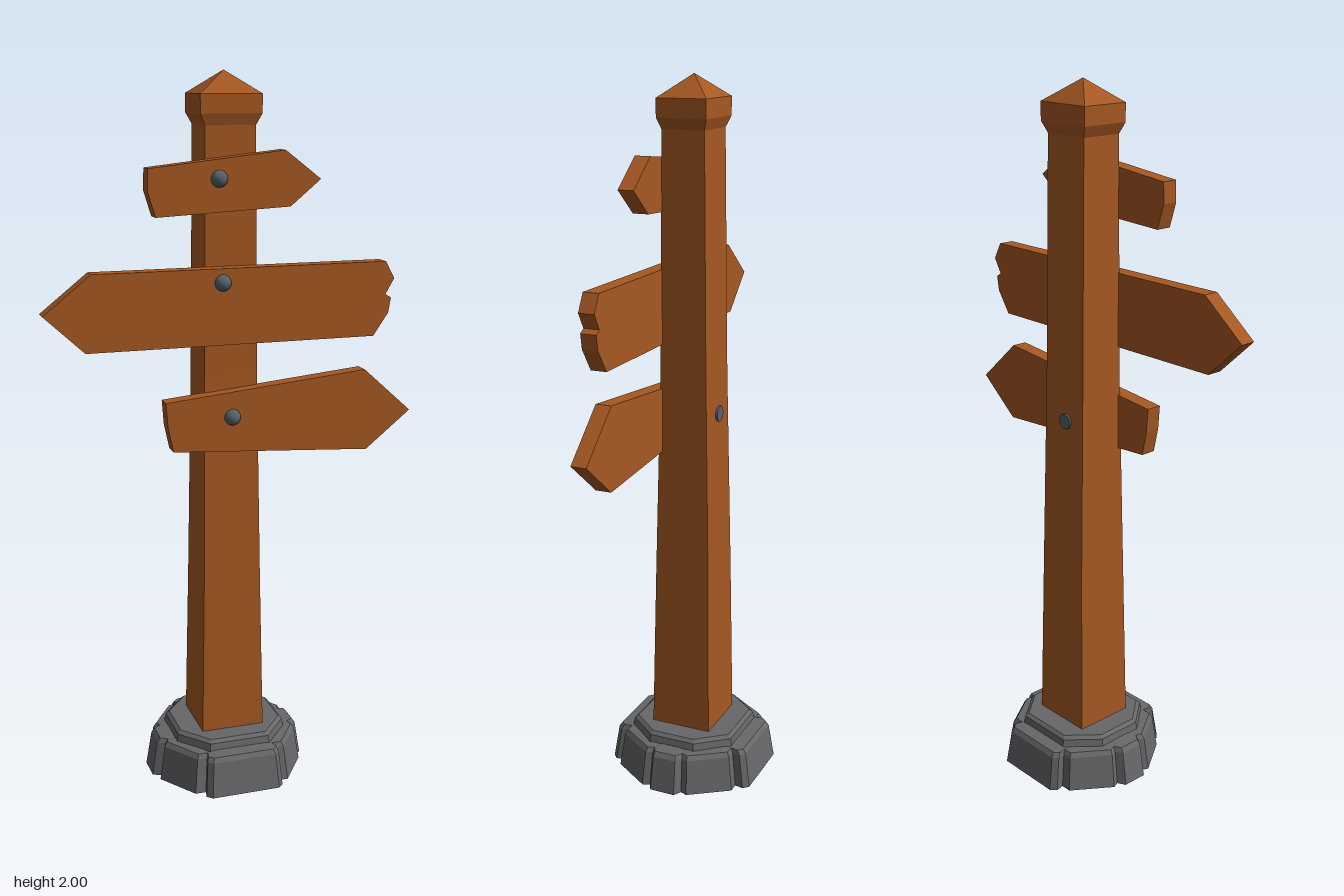
import * as THREE from 'three';

const wood = new THREE.MeshStandardMaterial({ color: 0xa65822 });
wood.name = 'wood';
const stone = new THREE.MeshStandardMaterial({ color: 0x67676a, side: THREE.DoubleSide });
stone.name = 'stone';
const iron = new THREE.MeshStandardMaterial({ color: 0x56616b });
iron.name = 'iron';

// Joins stacked [y, outline] rings, outlines being [x, z] lists running from +x towards +z
function loft(rings, capTop) {
  const pos = [];
  const put = (...corners) => corners.forEach(([y, [x, z]]) => pos.push(x, y, z));
  const n = rings[0][1].length;
  for (let r = 0; r < rings.length - 1; r++) {
    const [y0, lo] = rings[r];
    const [y1, hi] = rings[r + 1];
    for (let i = 0; i < n; i++) {
      const j = (i + 1) % n;
      put([y0, lo[i]], [y1, hi[i]], [y0, lo[j]]);
      if (hi[i][0] !== hi[j][0] || hi[i][1] !== hi[j][1]) put([y0, lo[j]], [y1, hi[i]], [y1, hi[j]]);
    }
  }
  if (capTop) {
    const [y, top] = rings[rings.length - 1];
    for (let i = 0; i < n; i++) put([y, [0, 0]], [y, top[(i + 1) % n]], [y, top[i]]);
  }
  const geo = new THREE.BufferGeometry();
  geo.setAttribute('position', new THREE.Float32BufferAttribute(pos, 3));
  geo.computeVertexNormals();
  return geo;
}

// Mirrors a quarter outline into a full loop
function mirrorQuarter(q) {
  const back = [...q].reverse();
  return [
    ...q,
    ...back.map(([x, z]) => [-x, z]),
    ...q.map(([x, z]) => [-x, -z]),
    ...back.map(([x, z]) => [x, -z]),
  ];
}

const scaled = (outline, s) => outline.map(([x, z]) => [x * s, z * s]);
const rect = (w, front, back) => [[w, -back], [w, front], [-w, front], [-w, -back]];

function add(parent, name, geometry, material) {
  const mesh = new THREE.Mesh(geometry, material);
  mesh.name = name;
  parent.add(mesh);
  return mesh;
}

export function createModel() {
  const group = new THREE.Group();
  group.name = 'signpost';

  // Ring of eight stones with notches between them, hollow below
  const stones = mirrorQuarter([
    [0.23, 0.037], [0.207, 0.05], [0.215, 0.07], [0.14, 0.18],
    [0.11, 0.18], [0.115, 0.205], [0.1, 0.22],
  ]);
  add(group, 'stoneRing', loft([
    [0, stones], [0.1, scaled(stones, 0.93)], [0.113, scaled(stones, 0.89)], [0.117, scaled(stones, 0.7)],
  ]), stone);

  // Raised octagonal collar around the foot of the post
  const collar = mirrorQuarter([[0.165, 0.07], [0.09, 0.16]]);
  add(group, 'stoneCollar', loft([
    [0.11, collar], [0.136, scaled(collar, 0.97)], [0.145, scaled(collar, 0.91)],
  ], true), stone);

  // Tapered square post with a flared, pointed cap
  add(group, 'post', loft([
    [0.13, rect(0.092, 0.092, 0.086)],
    [0.6, rect(0.083, 0.083, 0.08)],
    [1.2, rect(0.075, 0.068, 0.068)],
    [1.86, rect(0.07, 0.062, 0.06)],
    [1.89, rect(0.085, 0.071, 0.071)],
    [1.94, rect(0.085, 0.071, 0.071)],
    [2, rect(0, 0, 0)],
  ]), wood);

  // Arrow boards, each held by one domed bolt
  const boards = [
    {
      name: 'topBoard', bolt: [-0.045, 1.727],
      outline: [[-0.217, 1.632], [0.153, 1.65], [0.238, 1.72], [0.138, 1.797], [-0.236, 1.757], [-0.238, 1.7]],
    },
    {
      name: 'middleBoard', bolt: [-0.035, 1.455],
      outline: [
        [-0.41, 1.287], [0.402, 1.287], [0.445, 1.35], [0.452, 1.392], [0.435, 1.402],
        [0.46, 1.445], [0.434, 1.493], [-0.39, 1.493], [-0.52, 1.39],
      ],
    },
    {
      name: 'bottomBoard', bolt: [-0.008, 1.086],
      outline: [[-0.175, 1.0], [0.39, 0.962], [0.52, 1.067], [0.38, 1.193], [-0.195, 1.138], [-0.19, 1.07]],
    },
  ];
  const dome = new THREE.SphereGeometry(0.023, 16, 6, 0, Math.PI * 2, 0, Math.PI / 2).rotateX(Math.PI / 2);
  for (const { name, bolt, outline } of boards) {
    const shape = new THREE.Shape(outline.map(([x, y]) => new THREE.Vector2(x, y)));
    const geo = new THREE.ExtrudeGeometry(shape, { depth: 0.045, bevelEnabled: false });
    add(group, name, geo, wood).position.z = 0.062;
    add(group, name + 'Bolt', dome, iron).position.set(bolt[0], bolt[1], 0.106);
  }

  // Flat end of the lowest bolt at the back of the post
  const boltEnd = new THREE.CylinderGeometry(0.022, 0.022, 0.012, 16).rotateX(Math.PI / 2);
  add(group, 'boltEnd', boltEnd, iron).position.set(-0.008, 1.086, -0.07);

  return group;
}
